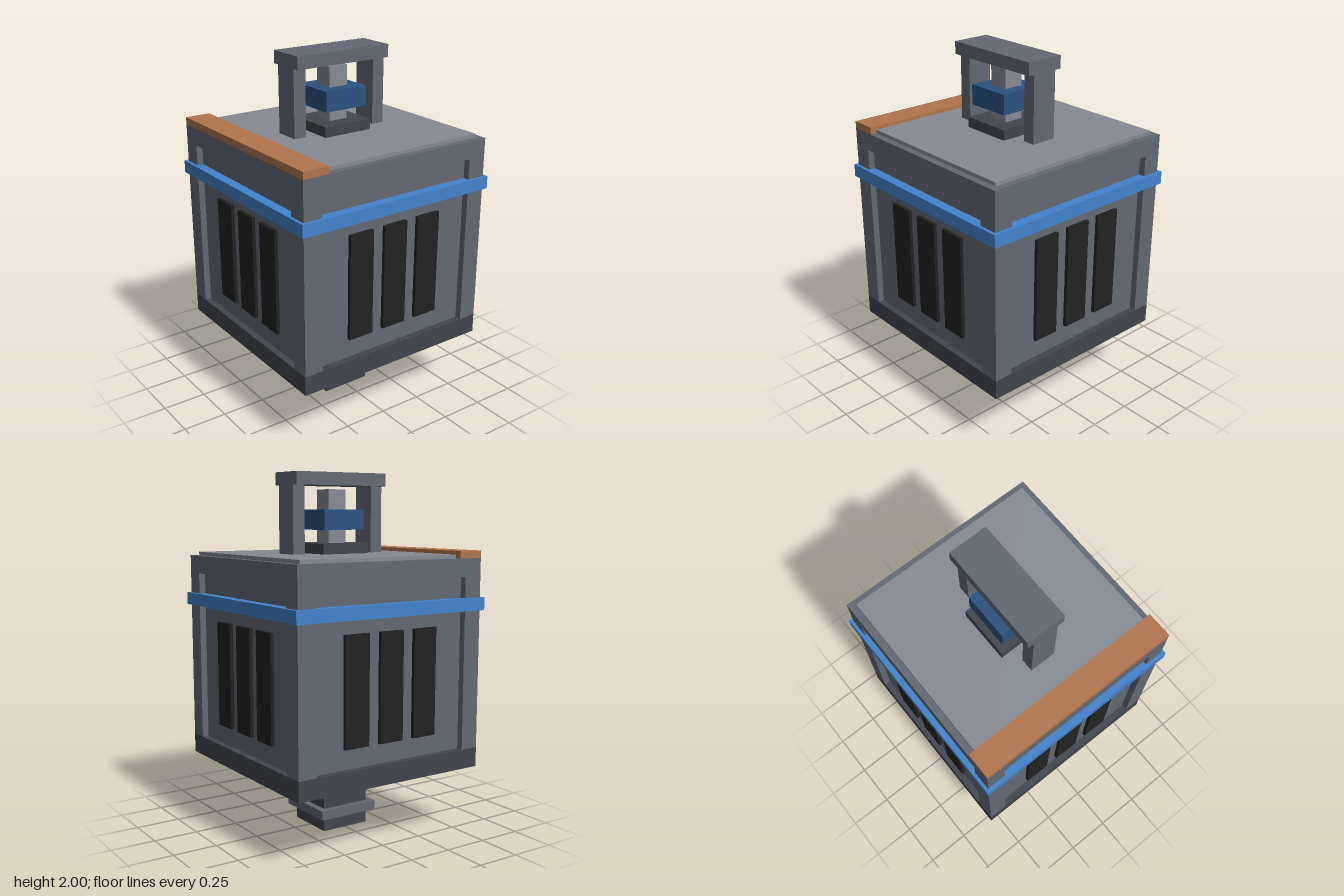
import * as THREE from 'three';

const mat = (name, color) => {
  const m = new THREE.MeshStandardMaterial({ color });
  m.name = name;
  return m;
};

export function createModel() {
  const grey = mat('steel grey', 0x626873);
  const light = mat('light grey', 0x868a93);
  const dark = mat('dark grey', 0x41454d);
  const black = mat('vent black', 0x222222);
  const blue = mat('bright blue', 0x4283cc);
  const navy = mat('deep blue', 0x2b5280);
  const copper = mat('copper', 0xb0754c);

  const model = new THREE.Group();
  model.name = 'lantern';

  // Box given by half width, vertical range, half depth and centre
  const box = (name, material, hx, y0, y1, hz, x = 0, z = 0, parent = model) => {
    const mesh = new THREE.Mesh(new THREE.BoxGeometry(hx * 2, y1 - y0, hz * 2), material);
    mesh.name = name;
    mesh.position.set(x, (y0 + y1) / 2, z);
    parent.add(mesh);
    return mesh;
  };

  // Stepped foot with two fins
  box('footStem', dark, 0.145, 0, 0.37, 0.145);
  for (const y of [0.08, 0.225]) box('footFin', grey, 0.182, y, y + 0.052, 0.182);

  // Housing: base slab, recessed core, corner posts and top rim
  box('baseSlab', dark, 0.587, 0.37, 0.48, 0.587);
  box('core', grey, 0.55, 0.48, 1.44, 0.55);
  for (const sx of [-1, 1]) {
    for (const sz of [-1, 1]) {
      box('cornerPost', grey, 0.0535, 0.48, 1.44, 0.0535, sx * 0.5335, sz * 0.5335);
    }
  }
  box('topRim', grey, 0.587, 1.44, 1.54, 0.587);

  // Three raised vents on each of the four sides
  for (let side = 0; side < 4; side++) {
    const vents = new THREE.Group();
    vents.name = 'sideVents';
    vents.rotation.y = side * Math.PI / 2;
    for (const x of [-0.22, 0, 0.22]) box('vent', black, 0.074, 0.59, 1.18, 0.015, x, 0.555, vents);
    model.add(vents);
  }

  // Blue band around the housing
  box('band', blue, 0.605, 1.255, 1.325, 0.605);

  // Lid plate and front copper strip
  box('lidPlate', light, 0.55, 1.54, 1.56, 0.55);
  box('frontStrip', copper, 0.587, 1.54, 1.58, 0.0735, 0, 0.5135);

  // Central valve
  box('valveBase', dark, 0.147, 1.56, 1.617, 0.147);
  box('valveStem', light, 0.057, 1.56, 1.91, 0.057);
  box('valveCollar', navy, 0.13, 1.69, 1.80, 0.13);

  // Carrying handle
  for (const s of [-1, 1]) box('handleLeg', grey, 0.073, 1.55, 1.93, 0.0365, 0, s * 0.257);
  box('handleBar', grey, 0.11, 1.93, 2.0, 0.2935);

  return model;
}
